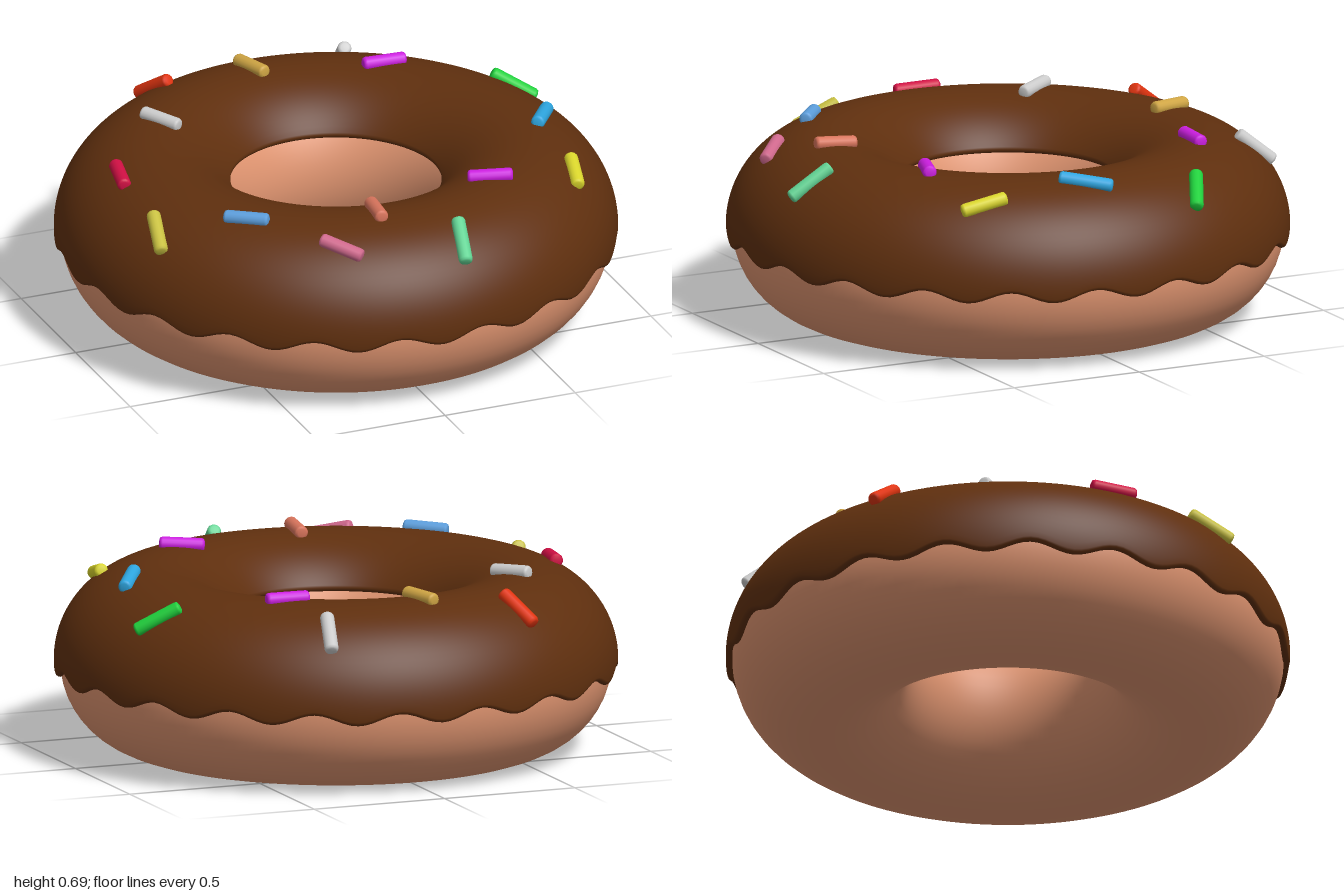
import * as THREE from 'three';
import { mergeVertices } from 'three/addons/utils/BufferGeometryUtils.js';

const RING = 0.66, MID = 0.32;          // ring radius and height of the tube centre
const DOUGH = 0.318, ICING = 0.34;      // tube radii
const WAVES = 20;

const mat = (color) => new THREE.MeshStandardMaterial({ color });

// Icing shell: a lathed arc over the top of the dough, with a wavy outer edge
function icingGeometry() {
  const a0 = THREE.MathUtils.degToRad(-5), a1 = THREE.MathUtils.degToRad(149);
  const inner = DOUGH - 0.008, half = (ICING - inner) / 2, mid = inner + half;
  const profile = [];
  const add = (a, r) => profile.push(new THREE.Vector2(RING + r * Math.cos(a), MID + r * Math.sin(a)));
  const rim = [-90, -60, -30, 0, 30, 60].map(THREE.MathUtils.degToRad);
  // rounded lower lip, long arc, rounded lip in the hole
  for (const t of rim) add(a0 + (half * (1 - Math.cos(t))) / mid, mid + half * Math.sin(t));
  for (let i = 0; i <= 40; i++) {
    const s = half / mid;
    add(a0 + s + ((a1 - a0 - 2 * s) * i) / 40, ICING);
  }
  for (const t of rim.slice().reverse()) add(a1 - (half * (1 - Math.cos(t))) / mid, mid + half * Math.sin(t));

  const geo = new THREE.LatheGeometry(profile, 240);
  const p = geo.attributes.position;
  for (let i = 0; i < p.count; i++) {
    const x = p.getX(i), y = p.getY(i), z = p.getZ(i);
    const d = Math.hypot(x, z), theta = Math.atan2(x, z);
    const r = Math.hypot(d - RING, y - MID);
    let a = Math.atan2(y - MID, d - RING);
    if (a < -Math.PI / 2) a += 2 * Math.PI;
    // the wave fades out towards the crown
    const fade = THREE.MathUtils.clamp(1 - (a - a0) / 0.7, 0, 1);
    a -= 0.06 * Math.cos(WAVES * theta) * fade;
    const nd = RING + r * Math.cos(a);
    p.setXYZ(i, nd * Math.sin(theta), MID + r * Math.sin(a), nd * Math.cos(theta));
  }
  geo.deleteAttribute('uv');
  geo.deleteAttribute('normal');
  const merged = mergeVertices(geo, 1e-5);
  merged.computeVertexNormals();
  return merged;
}

// Small rod with softened ends, along y
function rodGeometry(length, radius) {
  const h = length / 2, b = 0.011;
  const pts = [[0, -h], [radius - b, -h], [radius - b * 0.3, -h + b * 0.3], [radius, -h + b],
    [radius, h - b], [radius - b * 0.3, h - b * 0.3], [radius - b, h], [0, h]];
  return new THREE.LatheGeometry(pts.map(([x, y]) => new THREE.Vector2(x, y)), 16);
}

// Sprinkles: ends as seen from above (x1, z1, x2, z2) and colour
const SPRINKLES = [
  [-0.42, -0.82, -0.35, -0.68, 0xe03410],
  [-0.07, -0.75, -0.02, -0.59, 0xcfa544],
  [0.375, -0.865, 0.34, -0.73, 0xc4c4c4],
  [0.32, -0.53, 0.49, -0.52, 0xcc1ee0],
  [0.74, -0.36, 0.89, -0.285, 0x1fd03c],
  [0.81, 0.0, 0.7, 0.17, 0x2ea6e0],
  [0.735, 0.385, 0.695, 0.555, 0xdad62c],
  [0.295, 0.49, 0.455, 0.55, 0xcc1ee0],
  [0.14, 0.775, 0.11, 0.93, 0x62d494],
  [-0.1, 0.55, -0.12, 0.715, 0xd8745c],
  [-0.365, 0.72, -0.245, 0.84, 0xcf688c],
  [-0.62, 0.445, -0.485, 0.555, 0x5c9edc],
  [-0.805, 0.25, -0.84, 0.415, 0xc8c040],
  [-0.785, -0.145, -0.82, 0.03, 0xd01044],
  [-0.56, -0.45, -0.47, -0.305, 0xc4c4c4],
];

function createSprinkle([x1, z1, x2, z2, color]) {
  const x = (x1 + x2) / 2, z = (z1 + z2) / 2, d = Math.hypot(x, z);
  // height and normal of the icing under the middle of the rod
  const across = d - RING, up = Math.sqrt(ICING ** 2 - across ** 2);
  const n = new THREE.Vector3((across * x) / d, up, (across * z) / d).normalize();
  const dir = new THREE.Vector3(x2 - x1, 0, z2 - z1);
  dir.y = -(dir.x * n.x + dir.z * n.z) / n.y;
  const mesh = new THREE.Mesh(rodGeometry(dir.length() - 0.01, 0.025), mat(color));
  mesh.position.set(x, MID + up, z).addScaledVector(n, 0.006);
  mesh.quaternion.setFromUnitVectors(new THREE.Vector3(0, 1, 0), dir.normalize());
  mesh.name = 'sprinkle';
  return mesh;
}

export function createModel() {
  const model = new THREE.Group();
  model.name = 'doughnut';

  const dough = new THREE.Mesh(new THREE.TorusGeometry(RING, DOUGH, 48, 128), mat(0xdf9470));
  dough.rotation.x = Math.PI / 2;
  dough.position.y = DOUGH;
  dough.name = 'dough';

  const icing = new THREE.Mesh(icingGeometry(), mat(0x5f2f0e));
  icing.name = 'icing';

  const sprinkles = new THREE.Group();
  sprinkles.name = 'sprinkles';
  SPRINKLES.forEach((s) => sprinkles.add(createSprinkle(s)));

  model.add(dough, icing, sprinkles);
  return model;
}
